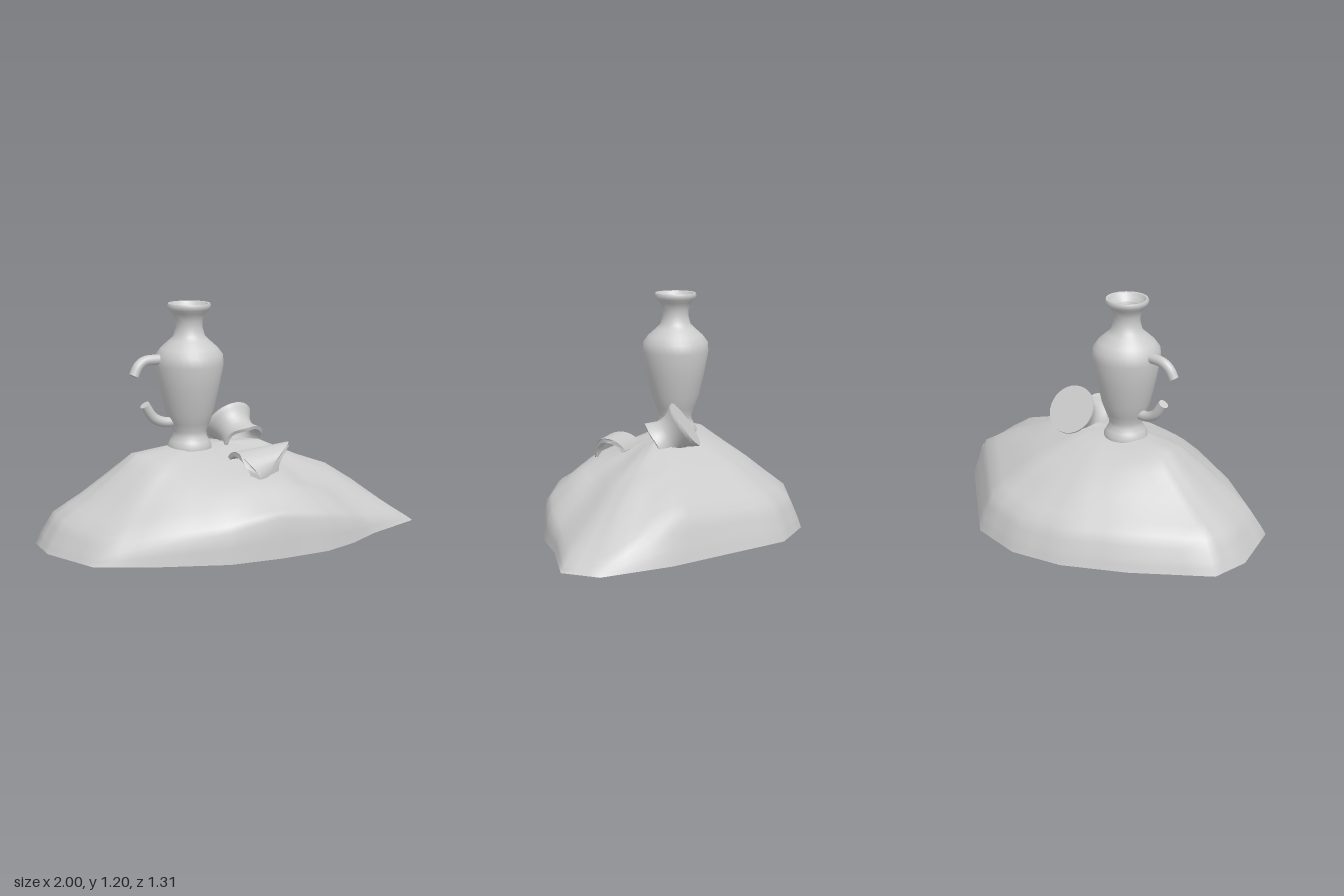
import * as THREE from 'three';
import { toCreasedNormals } from 'three/addons/utils/BufferGeometryUtils.js';

const grey = new THREE.MeshStandardMaterial({ color: 0xcccccc, side: THREE.DoubleSide });
const V2 = (x, y) => new THREE.Vector2(x, y);
const V3 = (x, y, z) => new THREE.Vector3(x, y, z);
const lerp = THREE.MathUtils.lerp;

function part(name, geometry, parent) {
  const mesh = new THREE.Mesh(geometry, grey);
  mesh.name = name;
  parent.add(mesh);
  return mesh;
}

// Open-bottomed mound: spokes run from the crown to an irregular outline,
// heights blend between slope profiles keyed to some of the outline corners.
function moundGeometry() {
  const outline = [
    [-0.09, -0.655], [0.2, -0.61], [0.48, -0.38], [0.75, -0.16], [1, 0.13], [0.97, 0.33],
    [0.65, 0.46], [0.46, 0.57], [0.27, 0.64], [0, 0.655], [-0.27, 0.64], [-0.6, 0.52],
    [-0.88, 0.385], [-1, 0.07], [-0.985, -0.14], [-0.65, -0.41], [-0.36, -0.585]];
  const fractions = [0, 0.25, 0.45, 0.6, 0.74, 0.9, 0.97, 1];
  const back = [0.47, 0.455, 0.385, 0.325, 0.25, 0.165, 0.06, 0];
  // [outline corner, heights along the spoke]
  const slopes = [
    [0, back],
    [2, [0.47, 0.455, 0.40, 0.35, 0.285, 0.2, 0.07, 0]],
    [3, [0.47, 0.47, 0.41, 0.35, 0.3, 0.22, 0.08, 0]],
    [4, [0.47, 0.47, 0.37, 0.31, 0.21, 0.08, 0.025, 0]],
    [5, [0.47, 0.45, 0.355, 0.28, 0.18, 0.075, 0.025, 0]],
    [7, [0.47, 0.44, 0.385, 0.335, 0.28, 0.18, 0.12, 0]],
    [9, [0.47, 0.43, 0.39, 0.365, 0.325, 0.245, 0.2, 0]],
    [11, [0.47, 0.45, 0.405, 0.345, 0.27, 0.175, 0.1, 0]],
    [12, [0.47, 0.465, 0.42, 0.325, 0.225, 0.12, 0.04, 0]],
    [13, [0.47, 0.47, 0.455, 0.345, 0.245, 0.155, 0.05, 0]],
    [14, [0.47, 0.47, 0.44, 0.34, 0.25, 0.16, 0.06, 0]],
    [15, [0.47, 0.46, 0.41, 0.34, 0.26, 0.175, 0.065, 0]],
    [17, back]];
  // local hollows: x, z, radius, height
  const hollows = [[-0.02, 0.54, 0.07, -0.03], [0.28, 0.37, 0.08, -0.02]];
  const cx = -0.1, cz = 0.05, sub = 3, n = outline.length * sub;

  const rings = [];
  fractions.forEach((f, k) => {
    if (k > 0) rings.push([k - 1, 0.5]);
    rings.push([k, 0]);
  });
  const pos = [], index = [];
  rings.forEach(([k, t], r) => {
    const at = (list) => lerp(list[k], list[Math.min(k + 1, list.length - 1)], t);
    const f = at(fractions);
    for (let i = 0; i < n; i++) {
      const u = i / sub, c = Math.floor(u);
      const a = outline[c], b = outline[(c + 1) % outline.length];
      const x = lerp(cx, lerp(a[0], b[0], u - c), f), z = lerp(cz, lerp(a[1], b[1], u - c), f);
      const s = slopes.findIndex(([corner]) => corner > u);
      const [c0, h0] = slopes[s - 1], [c1, h1] = slopes[s];
      let y = lerp(at(h0), at(h1), (u - c0) / (c1 - c0));
      for (const [bx, bz, br, bh] of hollows) {
        y += bh * Math.exp(-((x - bx) ** 2 + (z - bz) ** 2) / (br * br)) * Math.min(1, (1 - f) * 10);
      }
      pos.push(x, y, z);
      if (r > 0) {
        const j = (i + 1) % n, p = (r - 1) * n, q = r * n;
        if (r > 1) index.push(p + i, p + j, q + j);
        index.push(p + i, q + j, q + i);
      }
    }
  });
  // the crown ring collapses to one shared point
  const shared = index.map((v) => (v < n ? 0 : v));
  const g = new THREE.BufferGeometry();
  g.setAttribute('position', new THREE.Float32BufferAttribute(pos, 3));
  g.setIndex(shared);
  g.computeVertexNormals();
  return g;
}

// Curved handle stump
function stump(name, points, parent) {
  const curve = new THREE.CatmullRomCurve3(points);
  const r = 0.026;
  part(name, new THREE.TubeGeometry(curve, 16, r, 12), parent);
  const end = part(name + 'End', new THREE.CircleGeometry(r, 12), parent);
  const tip = curve.getPoint(1);
  end.position.copy(tip);
  end.lookAt(tip.clone().add(curve.getTangent(1)));
}

function createVase() {
  const vase = new THREE.Group();
  vase.name = 'vase';
  const profile = [
    [0, 0.46], [0.112, 0.46], [0.112, 0.478], [0.1, 0.5], [0.086, 0.525], [0.086, 0.55],
    [0.103, 0.59], [0.125, 0.65], [0.152, 0.77], [0.175, 0.89], [0.171, 0.94], [0.145, 0.975],
    [0.1, 1.015], [0.08, 1.035], [0.068, 1.08], [0.07, 1.115], [0.083, 1.15], [0.105, 1.17],
    [0.111, 1.19], [0.106, 1.2], [0.096, 1.198], [0.084, 1.178], [0.062, 1.16], [0.055, 1.08],
    [0.07, 1.02], [0.12, 0.95], [0.14, 0.88], [0, 0.87]].map(([x, y]) => V2(x, y));
  part('vaseBody', toCreasedNormals(new THREE.LatheGeometry(profile, 32), 0.8), vase);
  stump('upperHandleStump', [V3(-0.13, 0.92, 0), V3(-0.2, 0.925, 0), V3(-0.25, 0.92, 0),
    V3(-0.285, 0.895, 0.005), V3(-0.31, 0.85, 0.01)], vase);
  stump('lowerHandleStump', [V3(-0.09, 0.6, 0), V3(-0.15, 0.605, 0), V3(-0.2, 0.63, 0),
    V3(-0.25, 0.7, 0.005)], vase);
  vase.position.set(-0.21, 0, 0.045);
  return vase;
}

// Broken-off neck lying with its rim toward the back
function createBrokenNeck() {
  const neck = new THREE.Group();
  neck.name = 'brokenNeck';
  const profile = [[0.075, -0.13], [0.105, -0.175], [0.122, -0.168], [0.106, -0.14], [0.095, -0.115],
    [0.094, -0.09], [0.101, -0.055], [0.12, -0.025], [0.13, -0.008], [0.129, 0], [0.115, -0.008],
    [0.09, -0.06], [0.075, -0.1], [0.075, -0.13]].map(([x, y]) => V2(x, y));
  const g = new THREE.LatheGeometry(profile, 32);
  const p = g.attributes.position;
  for (let i = 0; i < p.count; i++) {
    const a = Math.atan2(p.getZ(i), p.getX(i));
    if (p.getY(i) < -0.15) p.setY(i, p.getY(i) + 0.007 * Math.sin(3 * a) + 0.004 * Math.cos(5 * a));
  }
  part('neckWall', toCreasedNormals(g, 0.9), neck);
  const cap = part('neckRimFace', new THREE.CircleGeometry(0.129, 32), neck);
  cap.rotation.x = -Math.PI / 2;
  neck.rotation.set(-0.955, 0.15, 0, 'YXZ');
  neck.position.set(0.068, 0.555, -0.073);
  return neck;
}

// Curved wall shard: an arc extruded sideways, its right end broken at a slant
function shardGeometry() {
  const shape = new THREE.Shape();
  const a0 = -0.1, a1 = 2.6;
  shape.absarc(0, 0, 0.125, Math.PI - a0, Math.PI - a1, true);
  shape.absarc(0, 0, 0.102, Math.PI - a1, Math.PI - a0, false);
  const g = new THREE.ExtrudeGeometry(shape, { depth: 1, steps: 6, bevelEnabled: false, curveSegments: 16 });
  g.rotateY(Math.PI / 2);
  const p = g.attributes.position;
  for (let i = 0; i < p.count; i++) {
    const t = p.getX(i), z = p.getZ(i);
    const s = THREE.MathUtils.clamp((z + 0.125) / 0.25, 0, 1);
    const left = -0.075 + 0.07 * s ** 8, right = 0.25 - 0.17 * s ** 3;
    const scale = 1 - 0.1 * t;
    p.setXYZ(i, lerp(left, right, t),
      0.345 + p.getY(i) * scale + 0.035 * t, 0.308 + z * scale - 0.01 * t);
  }
  return toCreasedNormals(g, 0.6);
}

export function createModel() {
  const model = new THREE.Group();
  model.name = 'vaseOnMound';
  part('mound', moundGeometry(), model);
  model.add(createVase(), createBrokenNeck());
  part('wallShard', shardGeometry(), model);
  return model;
}
